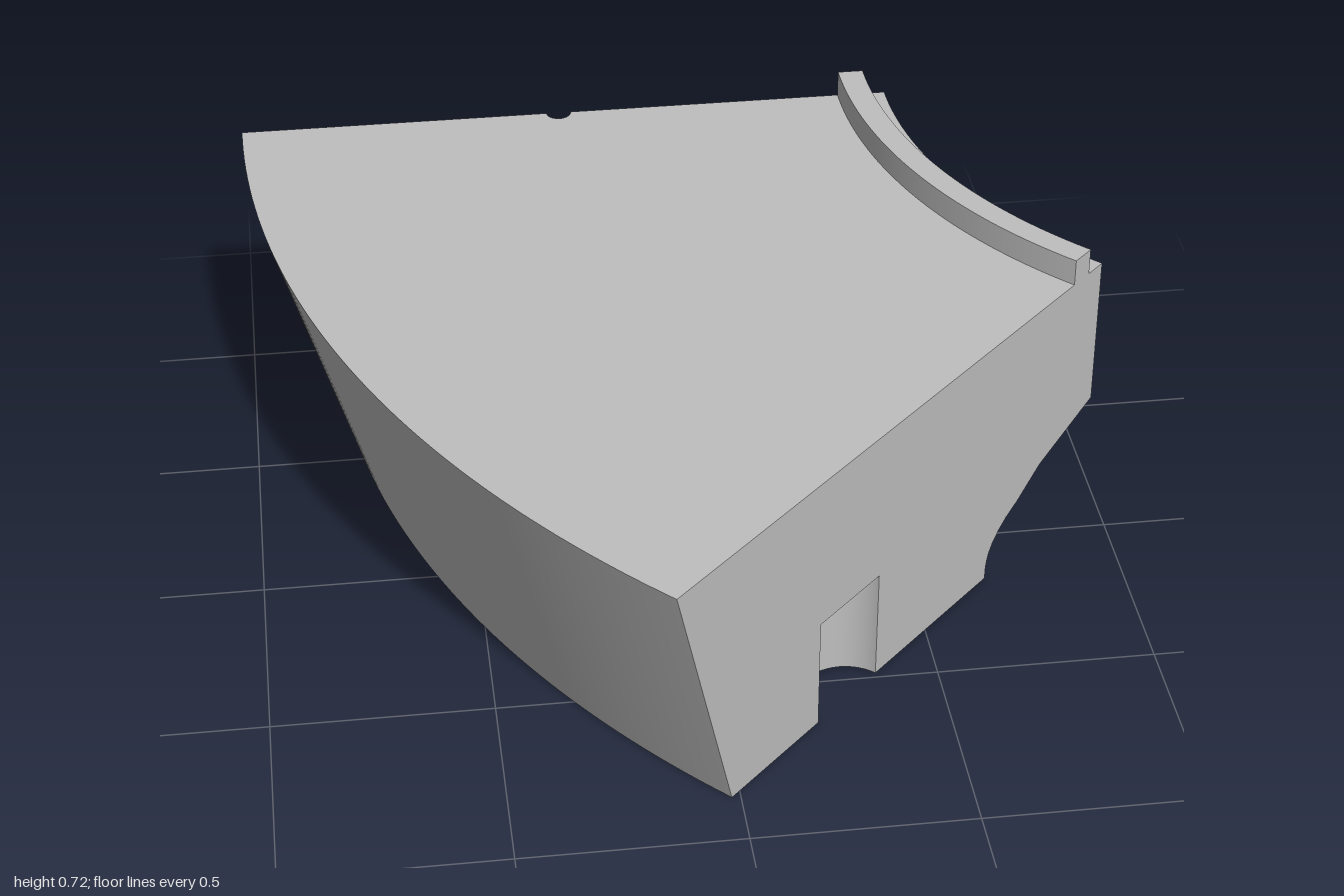
import * as THREE from 'three';

const SWEEP = Math.PI / 4;            // the block is one eighth of a ring
const H = 0.655, RIM_H = 0.72;        // deck and rim heights
const R_IN = 1.223, R_OUT = 2.828, R_FOOT = 2.637;
const RIM_IN = 1.28, RIM_OUT = 1.342;
// undercut below the inner wall, top to bottom, as (radius, height)
const UNDERCUT = [[R_IN, 0.28], [1.38, 0.205], [1.5, 0.165], [1.534, 0.152], [1.575, 0.132], [1.605, 0.112],
  [1.63, 0.088], [1.645, 0.065], [1.653, 0.04], [1.655, 0.02], [1.655, 0]];
UNDERCUT.splice(1, 3, [1.38, 0.19], [1.5, 0.152 + 0.02], [1.55, 0.145]);
UNDERCUT[1] = [1.34, 0.213]; UNDERCUT[2] = [1.46, 0.179 + 0.007]; UNDERCUT.splice(1, 3, [1.44, 0.2], [1.53, 0.153]);
UNDERCUT[1] = [1.44, 0.207];
const POCKET = { r: 2.21, rad: 0.11, y0: 0, y1: 0.275, a: SWEEP, into: -1 };
const GROOVE = { r: 2.045, rad: 0.03, y0: 0.38, y1: H, a: 0, into: 1 };

// plan position (x, z) at a radius and angle from the back face
const polar = (r, a) => [-r * Math.cos(a), r * Math.sin(a)];

function arc(r, a0, a1, n = 48) {
  return Array.from({ length: n + 1 }, (_, i) => polar(r, a0 + (a1 - a0) * i / n));
}

// half circle cut into an end face, from its outer to its inner edge
function bite({ r, rad, a, into }, n = 24) {
  const [cx, cz] = polar(r, a);
  return Array.from({ length: n + 1 }, (_, i) => {
    const t = Math.PI * i / n, u = rad * Math.cos(t), v = rad * Math.sin(t) * into;
    return [cx - u * Math.cos(a) + v * Math.sin(a), cz + u * Math.sin(a) + v * Math.cos(a)];
  });
}

const shapeOf = (pts) => new THREE.ShapeGeometry(new THREE.Shape(pts.map(([x, y]) => new THREE.Vector2(x, y))));

// horizontal face from a plan outline
function flat(pts, y, up) {
  const g = shapeOf(pts.map(([x, z]) => [x, up ? -z : z]));
  return g.rotateX(up ? -Math.PI / 2 : Math.PI / 2).translate(0, y, 0);
}

// curved wall swept round the ring axis
const sweep = (pts) => new THREE.LatheGeometry(pts.map(([r, y]) => new THREE.Vector2(r, y)), 48, -Math.PI / 2, SWEEP);

// half-cylinder wall of a cut-out
function cutWall({ r, rad, y0, y1, a, into }) {
  const [x, z] = polar(r, a);
  const start = into > 0 ? -Math.PI / 2 : a - Math.PI * 1.5;
  return new THREE.CylinderGeometry(rad, rad, y1 - y0, 24, 1, true, start, Math.PI).translate(x, (y0 + y1) / 2, z);
}

// outline of an end face, with one rectangular opening for its cut-out
function endOutline(foot, top) {
  return [...UNDERCUT, ...foot, [R_FOOT, 0], [R_OUT, H], ...top,
    [RIM_OUT, H], [RIM_OUT, RIM_H], [RIM_IN, RIM_H], [RIM_IN, H], [R_IN, H]];
}

export function createModel() {
  const model = new THREE.Group();
  const ring = new THREE.Group();
  ring.name = 'ringSegment';
  ring.position.set(1.845, 0, -1);
  model.add(ring);
  const grey = new THREE.MeshStandardMaterial({ color: 0xbfbfbf, side: THREE.DoubleSide });
  grey.name = 'plainGrey';
  const add = (name, geometry) => {
    const mesh = new THREE.Mesh(geometry, grey);
    mesh.name = name;
    ring.add(mesh);
  };

  // curved walls
  add('outerWall', sweep([[R_FOOT, 0], [R_OUT, H]]));
  add('innerWall', sweep([[R_IN, H], [R_IN, 0.28]]));
  add('undercutSlope', sweep(UNDERCUT.slice(0, 3)));
  add('undercutFillet', sweep(UNDERCUT.slice(2)));

  // deck and underside
  add('deck', flat([...arc(R_OUT, 0, SWEEP), ...arc(R_IN, SWEEP, 0), ...bite(GROOVE).reverse()], H, true));
  add('underside', flat([...arc(R_FOOT, 0, SWEEP), ...bite(POCKET), ...arc(1.655, SWEEP, 0)], 0, false));

  // raised rim
  add('rimInside', sweep([[RIM_IN, RIM_H], [RIM_IN, H]]));
  add('rimOutside', sweep([[RIM_OUT, H], [RIM_OUT, RIM_H]]));
  add('rimTop', sweep([[RIM_OUT, RIM_H], [RIM_IN, RIM_H]]));

  // end faces
  const p0 = POCKET.r - POCKET.rad, p1 = POCKET.r + POCKET.rad;
  const g0 = GROOVE.r - GROOVE.rad, g1 = GROOVE.r + GROOVE.rad;
  const front = endOutline([[p0, 0], [p0, POCKET.y1], [p1, POCKET.y1], [p1, 0]], []);
  const back = endOutline([], [[g1, H], [g1, GROOVE.y0], [g0, GROOVE.y0], [g0, H]]);
  add('frontFace', shapeOf(front.map(([r, y]) => [-r, y])).rotateY(SWEEP));
  add('backFace', shapeOf(back).rotateY(Math.PI));

  // cut-outs in the end faces
  add('pocketWall', cutWall(POCKET));
  add('pocketCeiling', flat(bite(POCKET), POCKET.y1, false));
  add('grooveWall', cutWall(GROOVE));
  add('grooveFloor', flat(bite(GROOVE), GROOVE.y0, true));
  return model;
}
